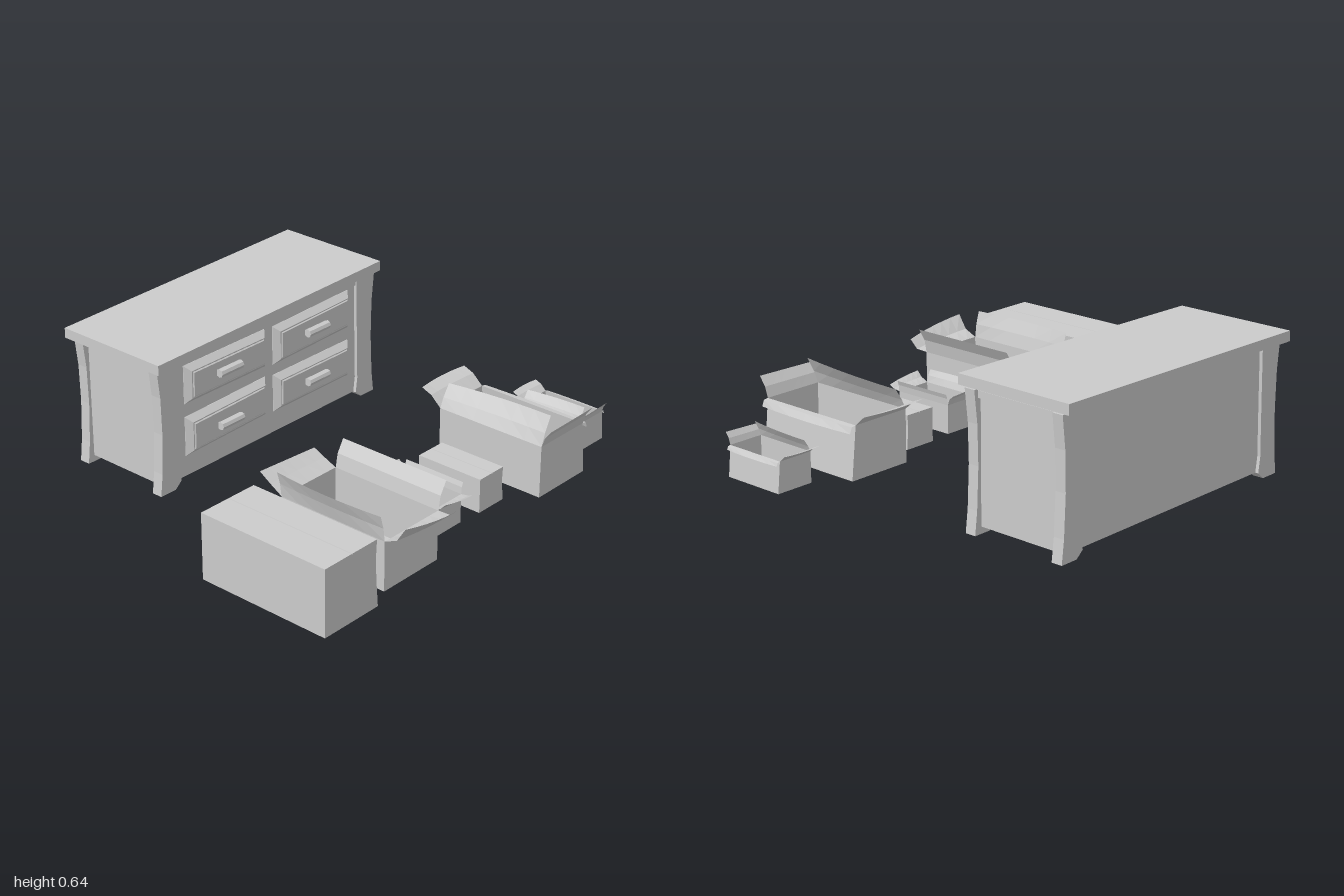
import * as THREE from 'three';

const mat = new THREE.MeshStandardMaterial({ color: 0xcccccc, flatShading: true });
const thin = new THREE.MeshStandardMaterial({ color: 0xcccccc, flatShading: true, side: THREE.DoubleSide });

function add(parent, name, geometry, material = mat) {
  const mesh = new THREE.Mesh(geometry, material);
  mesh.name = name;
  parent.add(mesh);
  return mesh;
}

// Box given by its limits
function block(x0, x1, y0, y1, z0, z1) {
  return new THREE.BoxGeometry(x1 - x0, y1 - y0, z1 - z0)
    .translate((x0 + x1) / 2, (y0 + y1) / 2, (z0 + z1) / 2);
}

function outline(points) {
  return new THREE.Shape(points.map(([x, y]) => new THREE.Vector2(x, y)));
}

// Surface through rows of points
function sheet(rows) {
  const n = rows[0].length, index = [];
  for (let r = 0; r < rows.length - 1; r++) {
    for (let c = 0; c < n - 1; c++) {
      const a = r * n + c;
      index.push(a, a + 1, a + n, a + 1, a + n + 1, a + n);
    }
  }
  const g = new THREE.BufferGeometry();
  g.setAttribute('position', new THREE.Float32BufferAttribute(rows.flat(2), 3));
  g.setIndex(index);
  g.computeVertexNormals();
  return g;
}

// Cardboard flap hinged on one edge; profile holds [outward, upward] steps
function flap(parent, name, a, b, out, profile, { bulge = 0, skew = 0 } = {}) {
  const rows = [[0, 0], ...profile].map(([o, u], i) => {
    const t = i / profile.length, row = [];
    for (let k = 0; k <= 6; k++) {
      const s = k / 6;
      const d = o + bulge * t * (4 * s * (1 - s));
      row.push([
        a[0] + (b[0] - a[0]) * s + out[0] * d,
        a[1] + u + skew * t * (s - 0.5),
        a[2] + (b[2] - a[2]) * s + out[1] * d
      ]);
    }
    return row;
  });
  add(parent, name, sheet(rows), thin);
}

const BASE = 0.03;

function openBox(name, { x0, x1, z0, z1, h, flaps, spread = 0 }) {
  const box = new THREE.Group();
  box.name = name;
  // Four walls around a floor; the +x wall may lean outward at the bottom
  const ring = (y, s) => [[x0, y, z0], [x1 + s, y, z0], [x1 + s, y, z1], [x0, y, z1], [x0, y, z0]];
  add(box, 'walls', sheet([ring(BASE, spread), ring(h, 0)]), thin);
  add(box, 'floor', block(x0, x1 + spread, BASE, BASE + 0.003, z0, z1));
  const corner = { a: [x0, h, z0], b: [x1, h, z0], c: [x1, h, z1], d: [x0, h, z1] };
  const { left, right, front, back } = flaps;
  flap(box, 'leftFlap', corner.b, corner.c, [1, 0], left.path, left);
  flap(box, 'rightFlap', corner.a, corner.d, [-1, 0], right.path, right);
  flap(box, 'frontFlap', corner.d, corner.c, [0, 1], front.path, front);
  flap(box, 'backFlap', corner.a, corner.b, [0, -1], back.path, back);
  return box;
}

// Closed carton: two lid halves meeting at a narrow seam
function closedBox(name, x0, x1, z0, z1, h) {
  const box = new THREE.Group();
  box.name = name;
  const w = x1 - x0, top = h - BASE;
  const side = outline([
    [0, 0], [w, 0], [w - 0.03 * w, top * 0.35], [w - 0.05 * w, top * 0.7], [w - 0.03 * w, top],
    [w / 2 + 0.002, top], [w / 2, top - 0.008], [w / 2 - 0.002, top], [0, top]
  ]);
  const g = new THREE.ExtrudeGeometry(side, { depth: z1 - z0, bevelEnabled: false });
  add(box, 'carton', g.translate(x0, BASE, z0));
  return box;
}

function drawer(x0, x1, y0, y1, tilt, handleX, handleY) {
  const g = new THREE.Group();
  g.name = 'drawer';
  // Raised front with wide chamfers and a thin inner panel
  const slab = (inset, front, bevel) => new THREE.ExtrudeGeometry(outline([
    [x0 + inset, y0 + inset - tilt], [x1 - inset, y0 + inset + tilt],
    [x1 - inset, y1 - inset + tilt], [x0 + inset, y1 - inset - tilt]
  ]), {
    depth: 0.01, bevelEnabled: true, bevelThickness: bevel, bevelSize: bevel,
    bevelOffset: -bevel, bevelSegments: 1
  }).translate(0, 0, front - 0.01 - bevel);
  add(g, 'drawerFront', slab(0, -0.388, 0.025));
  add(g, 'drawerPanel', slab(0.03, -0.383, 0.004));
  const grip = add(g, 'handle', new THREE.CylinderGeometry(0.019, 0.019, 0.13, 8));
  grip.rotation.z = Math.PI / 2;
  grip.position.set(handleX, handleY, -0.369);
  add(g, 'handleStem', block(handleX - 0.04, handleX + 0.04, handleY - 0.012, handleY + 0.012, -0.395, -0.37));
  return g;
}

function dresser() {
  const g = new THREE.Group();
  g.name = 'dresser';
  // Table top, rising slightly toward +x
  const top = block(-0.63, 0.74, 0.585, 0.63, -0.925, -0.37);
  const p = top.attributes.position;
  for (let i = 0; i < p.count; i++) p.setY(i, p.getY(i) + (p.getX(i) > 0 ? 0.012 : -0.012));
  top.computeVertexNormals();
  add(g, 'tableTop', top);
  add(g, 'cabinet', block(-0.58, 0.7, BASE, 0.59, -0.875, -0.415));
  add(g, 'topRail', block(-0.595, 0.715, 0.555, 0.585, -0.885, -0.405));

  // Bowed corner posts with flared feet
  const post = outline([
    [0, 0], [0.085, 0], [0.12, 0.03], [0.11, 0.1], [0.115, 0.32], [0.12, 0.59],
    [0, 0.59], [0.016, 0.45], [0.02, 0.28], [0.012, 0.1]
  ]);
  for (const [x, mirror] of [[-0.613, false], [0.735, true]]) {
    for (const z of [-0.89, -0.45]) {
      const shape = mirror ? outline(post.getPoints().map(q => [-q.x, q.y])) : post;
      const leg = new THREE.ExtrudeGeometry(shape, { depth: 0.05, bevelEnabled: false });
      add(g, z < -0.6 ? 'backLeg' : 'frontLeg', leg.translate(x, 0, z));
    }
  }

  // Four drawers, two per row
  g.add(
    drawer(-0.45, 0.035, 0.365, 0.54, 0, -0.22, 0.46),
    drawer(0.085, 0.57, 0.36, 0.54, 0.006, 0.325, 0.455),
    drawer(-0.45, 0.035, 0.13, 0.31, 0.006, -0.22, 0.215),
    drawer(0.085, 0.57, 0.13, 0.305, 0, 0.325, 0.22)
  );
  return g;
}

export function createModel() {
  const model = new THREE.Group();
  model.name = 'dresserWithBoxes';
  model.add(dresser());
  model.add(closedBox('largeClosedBox', -1, -0.7, 0.225, 0.855, 0.325));
  model.add(closedBox('smallClosedBox', 0.115, 0.27, 0.38, 0.7, 0.183));

  // Boxes with all flaps spread out
  model.add(openBox('largeOpenBox', {
    x0: -0.605, x1: -0.285, z0: 0.275, z1: 0.805, h: 0.25,
    flaps: {
      left: { path: [[0.012, 0.06], [0.045, 0.115]] },
      right: { path: [[0.008, 0.06], [0.025, 0.118]], bulge: 0.015 },
      front: { path: [[0.06, 0.015], [0.1, 0.065]], bulge: 0.015, skew: -0.05 },
      back: { path: [[0.06, 0.03], [0.115, 0.06]], skew: -0.02 }
    }
  }));
  model.add(openBox('smallOpenBox', {
    x0: -0.17, x1: 0.005, z0: 0.395, z1: 0.69, h: 0.16,
    flaps: {
      left: { path: [[0.003, 0.03], [0.01, 0.05]] },
      right: { path: [[0.008, 0.03], [0.02, 0.055]], bulge: 0.008 },
      front: { path: [[0.035, 0.012], [0.058, 0.03]], bulge: 0.008, skew: -0.025 },
      back: { path: [[0.01, 0.03], [0.03, 0.05]], skew: -0.01 }
    }
  }));

  // Boxes with one flap leaning in and the opposite one folded down
  const leaning = (name, x0, x1, z0, z1, h, s) => openBox(name, {
    x0, x1, z0, z1, h, spread: 0.025 * s,
    flaps: {
      left: { path: [[0.022 * s, -0.003], [0.032 * s, -0.03 * s]], bulge: 0.012 * s },
      right: { path: [[-0.02 * s, 0.05 * s], [-0.055 * s, 0.11 * s]], bulge: -0.012 * s, skew: 0.025 * s },
      front: { path: [[0.015 * s, 0.045 * s], [0.045 * s, 0.085 * s]], skew: 0.005 },
      back: { path: [[0.05 * s, 0.045 * s], [0.1 * s, 0.065 * s]], bulge: 0.012 * s }
    }
  });
  model.add(leaning('largeFoldedBox', 0.38, 0.665, 0.275, 0.805, 0.265, 1));
  model.add(leaning('smallFoldedBox', 0.81, 0.975, 0.39, 0.69, 0.165, 0.56));
  return model;
}
